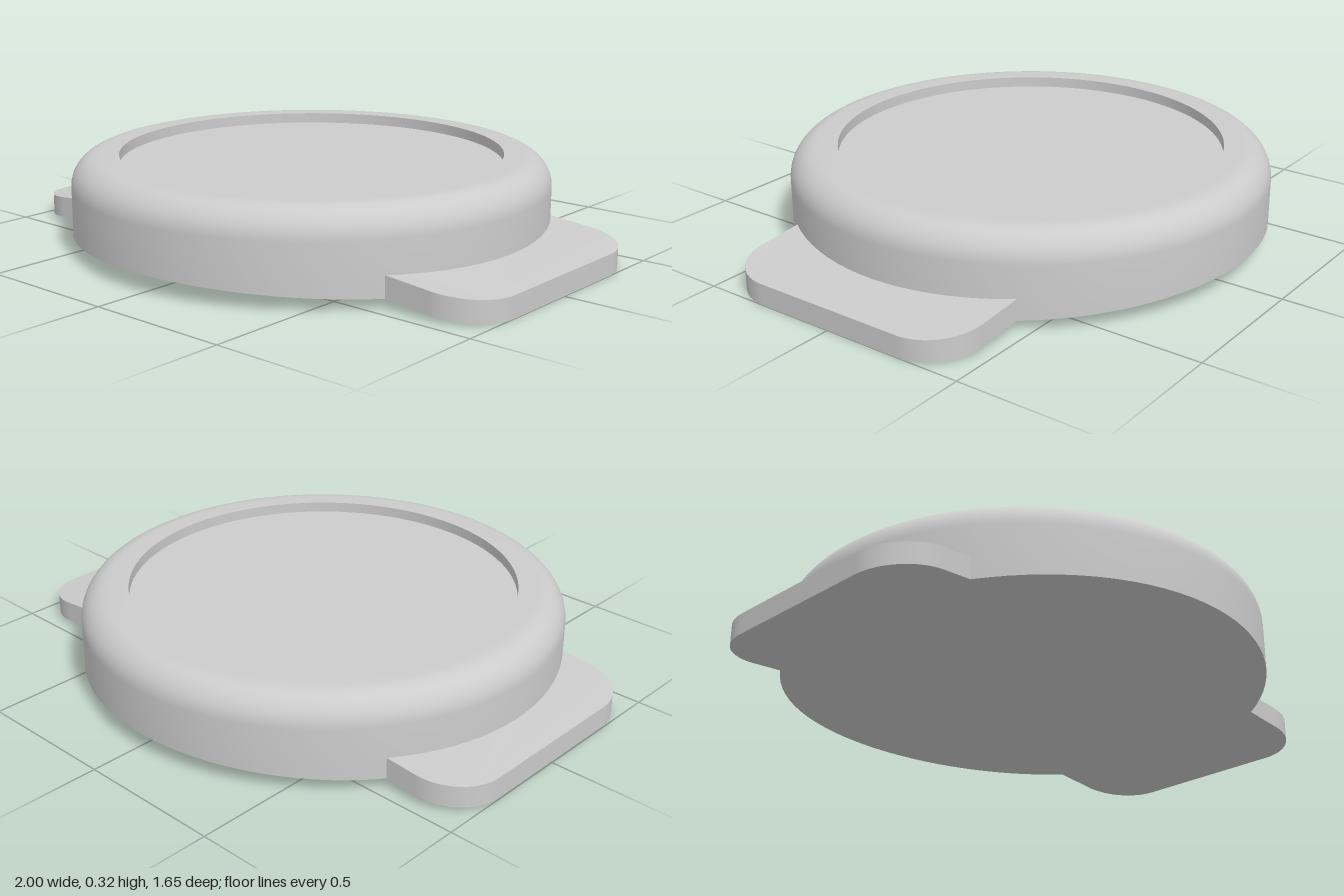
import * as THREE from 'three';
import { toCreasedNormals } from 'three/addons/utils/BufferGeometryUtils.js';

const R = 0.827;          // body radius
const OFFSET = -0.027;    // body centre, since one tab is longer
const BASE = 0.06;        // underside height at the centre
const CURVE = 0.057;      // how strongly the underside arches along x

const underside = (x) => BASE - CURVE * x * x;

function finish(geometry, name) {
  const mesh = new THREE.Mesh(
    toCreasedNormals(geometry, 0.6),
    new THREE.MeshStandardMaterial({ color: 0xcccccc })
  );
  mesh.name = name;
  return mesh;
}

// Round body: arched underside, straight wall, filleted rim, shallow recess
function createBody() {
  const top = 0.315, fillet = 0.1, recessRadius = 0.663, floor = 0.278;
  const points = [];
  const rings = 12;
  for (let i = 0; i <= rings; i++) points.push(new THREE.Vector2((R * i) / rings, 0));
  for (let i = 0; i <= 10; i++) {
    const a = (i / 10) * Math.PI / 2;
    points.push(new THREE.Vector2(
      R - fillet + fillet * Math.cos(a),
      top - fillet + fillet * Math.sin(a)
    ));
  }
  points.push(
    new THREE.Vector2(recessRadius, top),
    new THREE.Vector2(recessRadius, floor),
    new THREE.Vector2(0, floor)
  );
  const geometry = new THREE.LatheGeometry(points, 96);
  const p = geometry.attributes.position;
  for (let i = 0; i < p.count; i++) {
    if (p.getY(i) < 0.001) p.setY(i, underside(p.getX(i)));
  }
  return finish(geometry, 'body');
}

// Rounded side tab that follows the arch and meets the body wall
function createTab(length, side, name) {
  const w = 0.457, c = 0.18, thickness = 0.073;
  const r = R - 0.004;
  const a = Math.asin(w / r);
  const shape = new THREE.Shape();
  shape.moveTo(r * Math.cos(a), -w);
  shape.lineTo(length - c, -w);
  shape.absarc(length - c, -w + c, c, -Math.PI / 2, 0, false);
  shape.lineTo(length, w - c);
  shape.absarc(length - c, w - c, c, 0, Math.PI / 2, false);
  shape.lineTo(r * Math.cos(a), w);
  shape.absarc(0, 0, r, a, -a, true);
  const geometry = new THREE.ExtrudeGeometry(shape, {
    depth: thickness, bevelEnabled: false, curveSegments: 24
  });
  geometry.rotateX(Math.PI / 2);
  geometry.translate(0, thickness, 0);
  if (side < 0) geometry.rotateY(Math.PI);
  const p = geometry.attributes.position;
  for (let i = 0; i < p.count; i++) p.setY(i, p.getY(i) + underside(p.getX(i)));
  return finish(geometry, name);
}

export function createModel() {
  const group = new THREE.Group();
  group.name = 'tabbedDisc';
  group.add(
    createBody(),
    createTab(1 - OFFSET, 1, 'leftTab'),
    createTab(1 + OFFSET, -1, 'rightTab')
  );
  for (const part of group.children) part.position.x = OFFSET;
  return group;
}
